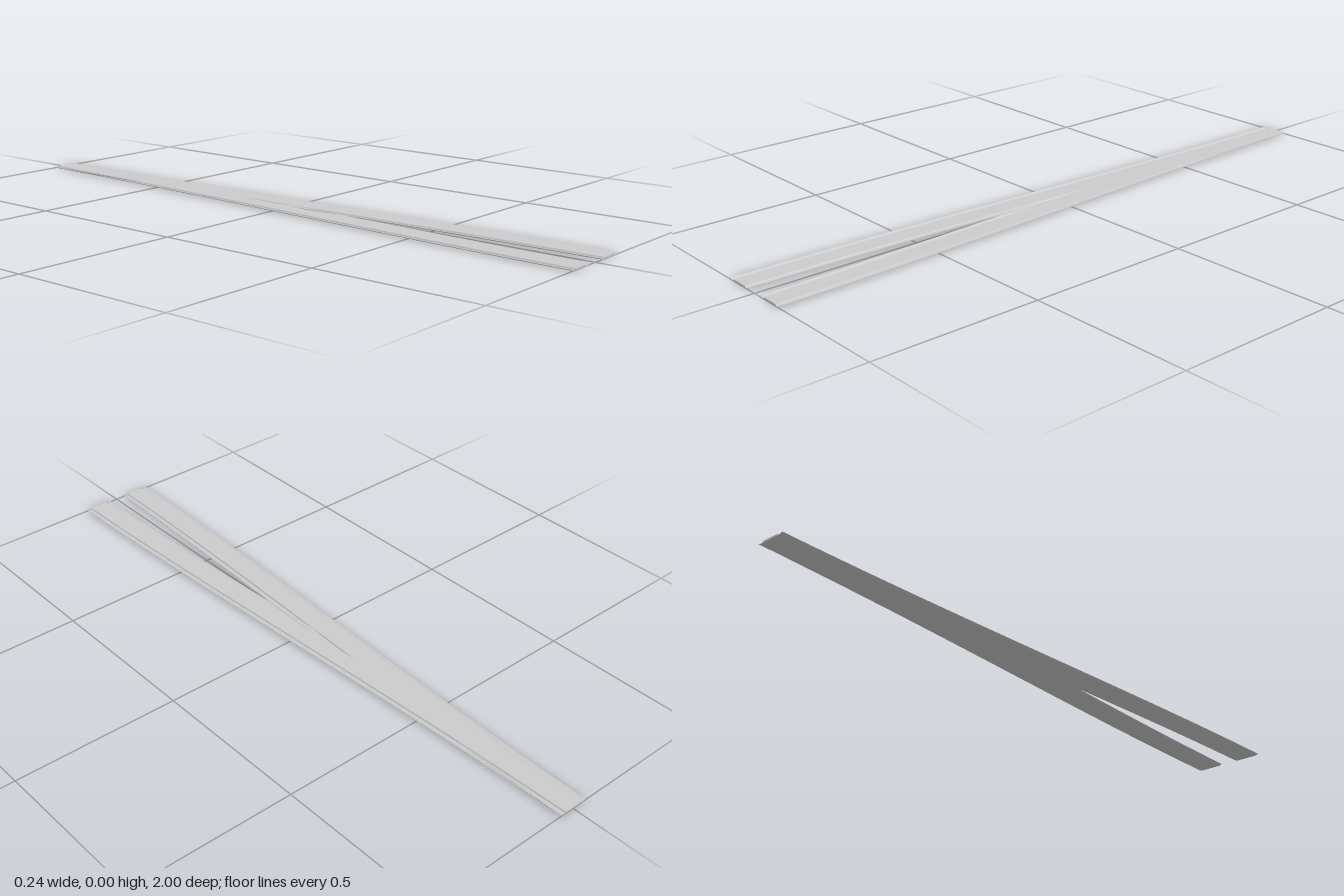
import * as THREE from 'three';

// Sideways offset of a lane's centre line: together at the back, apart at the front
function laneOffset(z) {
  const t = THREE.MathUtils.clamp((z + 1) / 2, 0, 1);
  const smooth = t * t * (3 - 2 * t);
  return 0.073 * (0.75 * smooth + 0.25 * t);
}

// Half of the lane section: raised bed, gutter, thin outer lip, underside
const halfSection = [
  [0.027, 0.005], [0.029, 0.001], [0.037, 0.001], [0.046, 0.0045], [0.046, 0.0038], [0.037, 0],
];

function laneGeometry(side) {
  const right = halfSection.map(([x, y]) => new THREE.Vector2(x, y));
  const left = halfSection.map(([x, y]) => new THREE.Vector2(-x, y)).reverse();
  const geometry = new THREE.ExtrudeGeometry(new THREE.Shape([...right, ...left]), {
    depth: 2, steps: 40, bevelEnabled: false,
  });
  geometry.translate(0, 0, -1);
  // Bend the straight lane along its centre line
  const p = geometry.attributes.position;
  for (let i = 0; i < p.count; i++) p.setX(i, p.getX(i) + side * laneOffset(p.getZ(i)));
  geometry.computeVertexNormals();
  return geometry;
}

export function createModel() {
  const group = new THREE.Group();
  group.name = 'forkedTrack';
  const material = new THREE.MeshStandardMaterial({ color: 0xcccccc, side: THREE.DoubleSide });

  // Two mirrored lanes that merge into one at the back
  for (const [name, side] of [['leftLane', 1], ['rightLane', -1]]) {
    const lane = new THREE.Mesh(laneGeometry(side), material);
    lane.name = name;
    group.add(lane);
  }
  return group;
}
